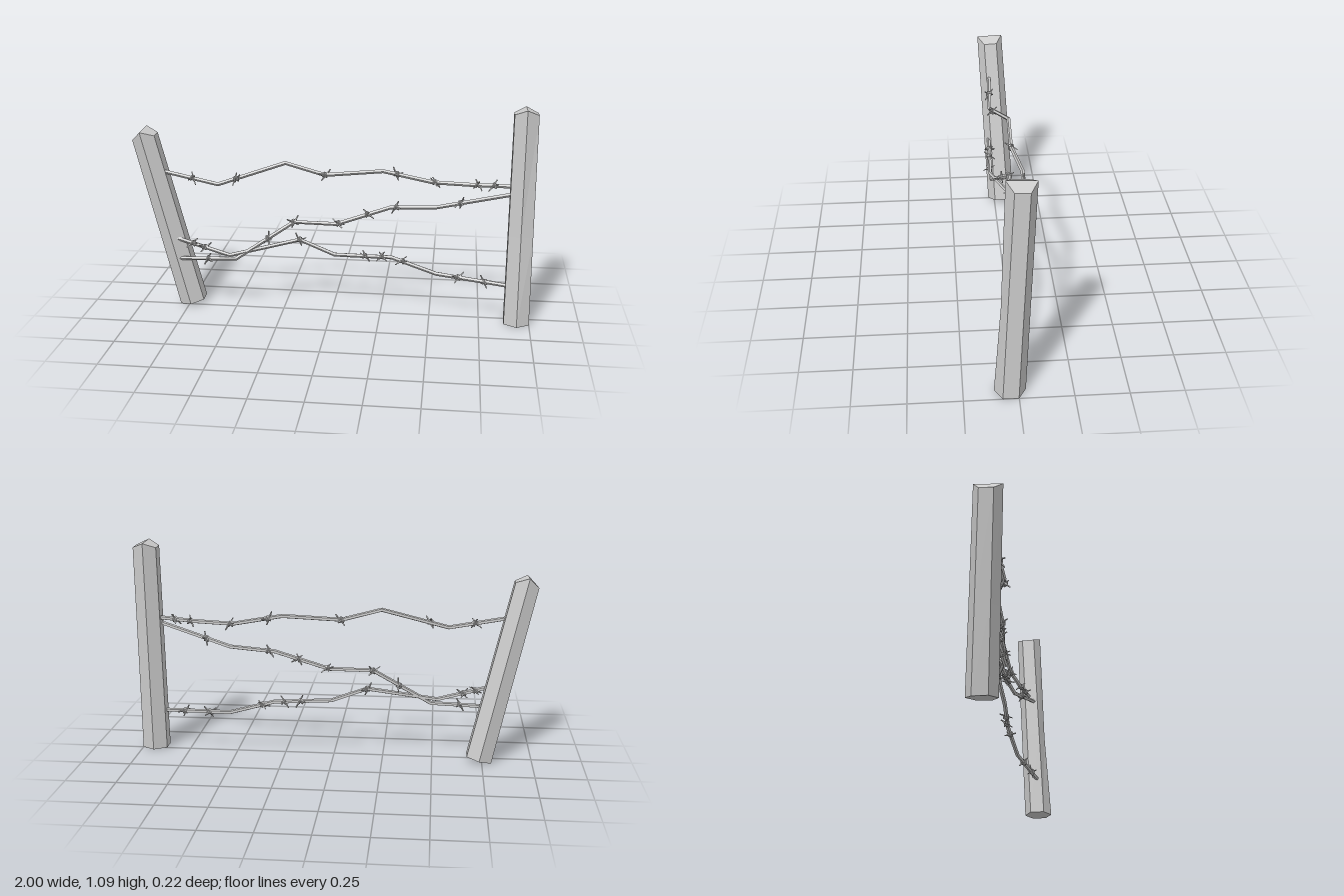
import * as THREE from 'three';

const V = (x, y, z) => new THREE.Vector3(x, y, z);
const UP = V(0, 1, 0);
const material = new THREE.MeshStandardMaterial({ color: 0xcccccc, flatShading: true, side: THREE.DoubleSide });

function addMesh(parent, name, geometry) {
  const mesh = new THREE.Mesh(geometry, material);
  mesh.name = name;
  parent.add(mesh);
  return mesh;
}

// Hexagonal post whose top is cut to a ridge, leaning from base to shoulder;
// its front edge is worn in by "dent" a little below the middle
function makePost(parent, name, base, shoulder, ridge, dent) {
  const axis = shoulder.clone().sub(base);
  const h = axis.length();
  const geo = new THREE.CylinderGeometry(0.067, 0.0725, h, 6, 2);
  geo.translate(0, h / 2, 0);
  const p = geo.attributes.position;
  for (let i = 0; i < p.count; i++) {
    const y = p.getY(i);
    const onRidge = Math.abs(p.getX(i)) < 0.01;
    if (onRidge && y > h - 0.01) p.setY(i, h + ridge);
    if (Math.abs(y - h / 2) < 0.01) {
      p.setY(i, h * 0.43);
      if (onRidge && p.getZ(i) > 0) p.setZ(i, p.getZ(i) - dent);
    }
  }
  geo.applyQuaternion(new THREE.Quaternion().setFromUnitVectors(UP, axis.normalize()));
  geo.translate(base.x, base.y, base.z);
  // Sit flat where the foot meets the ground
  for (let i = 0; i < p.count; i++) if (p.getY(i) < 0.007) p.setY(i, 0);
  addMesh(parent, name, geo);
}

// Straight-segment path with one kink per point
class KinkedPath extends THREE.Curve {
  constructor(points) { super(); this.points = points; }
  getPoint(t, target = V(0, 0, 0)) {
    const s = THREE.MathUtils.clamp(t, 0, 1) * (this.points.length - 1);
    const i = Math.min(Math.floor(s), this.points.length - 2);
    return target.lerpVectors(this.points[i], this.points[i + 1], s - i);
  }
  getUtoTmapping(u) { return u; }
}

// Sideways sway shared by all wires
const sway = [[-1, 0.01], [-0.8, 0.025], [-0.52, 0.035], [-0.22, -0.05], [-0.02, -0.04],
  [0.28, -0.075], [0.52, -0.06], [0.7, -0.03], [0.9, 0.01]];
function interpolate(table, x) {
  for (let i = 1; i < table.length; i++) {
    const [x0, v0] = table[i - 1], [x1, v1] = table[i];
    if (x <= x1) return v0 + (v1 - v0) * (x - x0) / (x1 - x0);
  }
  return table[table.length - 1][1];
}

// Small knot of two turns with four stubby ends, wire along local y
function makeBarb(spin) {
  const barb = new THREE.Group();
  barb.name = 'barb';
  for (const side of [-1, 1]) {
    const turn = addMesh(barb, 'barbTurn', new THREE.TorusGeometry(0.0125, 0.005, 4, 6));
    turn.rotation.set(Math.PI / 2, side * 0.25, 0);
    turn.position.y = side * 0.006;
    for (const end of [-1, 1]) {
      const geo = new THREE.CylinderGeometry(0.003, 0.0055, 0.037, 4);
      geo.translate(0, 0.0185, 0);
      const spike = addMesh(barb, 'barbSpike', geo);
      const a = spin + side * 0.75 + (end > 0 ? 0 : Math.PI);
      spike.quaternion.setFromUnitVectors(UP, V(Math.cos(a), side * end * 0.6, Math.sin(a)).normalize());
      spike.position.y = side * 0.006;
    }
  }
  return barb;
}

// Heights along x, barb positions, and how far each wire drifts forward to the right
const wires = [
  { name: 'topWire', dz: 0, drift: -0.008,
    path: [[-0.9, 0.735], [-0.57, 0.67], [-0.24, 0.77], [-0.04, 0.715], [0.25, 0.735], [0.5, 0.688], [0.7, 0.69], [0.92, 0.70]],
    barbs: [-0.7, -0.48, -0.04, 0.32, 0.51, 0.72, 0.8] },
  { name: 'middleWire', dz: 0.004, drift: 0.016,
    path: [[-0.79, 0.265], [-0.49, 0.275], [-0.2, 0.46], [0.02, 0.46], [0.29, 0.55], [0.52, 0.565], [0.92, 0.675]],
    barbs: [-0.63, -0.33, -0.2, 0.03, 0.175, 0.32, 0.64] },
  { name: 'bottomWire', dz: 0, drift: 0.035,
    path: [[-0.8, 0.375], [-0.52, 0.295], [-0.17, 0.365], [0.01, 0.295], [0.3, 0.285], [0.53, 0.215], [0.92, 0.193]],
    barbs: [-0.71, -0.65, -0.17, 0.165, 0.25, 0.355, 0.64, 0.775] },
];

export function createModel() {
  const model = new THREE.Group();
  model.name = 'barbedWireFence';

  makePost(model, 'leaningPost', V(-0.735, 0.015, -0.038), V(-0.94, 0.9, 0.008), 0.038, 0);
  makePost(model, 'uprightPost', V(0.9375, 0.002, 0.0375), V(0.9375, 1.06, -0.007), 0.026, 0.01);

  wires.forEach(({ name, dz, drift, path, barbs }, w) => {
    const group = new THREE.Group();
    group.name = name;
    const at = (x) => V(x, interpolate(path, x),
      interpolate(sway, x) + dz + drift * THREE.MathUtils.clamp(x + 0.2, 0, 1));
    const points = path.map(([x]) => at(x));
    addMesh(group, 'strand', new THREE.TubeGeometry(new KinkedPath(points), points.length - 1, 0.0108, 5));
    barbs.forEach((x, i) => {
      const barb = makeBarb(i * 1.3 + w * 0.7);
      barb.position.copy(at(x));
      barb.quaternion.setFromUnitVectors(UP, at(x + 0.02).sub(at(x - 0.02)).normalize());
      group.add(barb);
    });
    model.add(group);
  });
  return model;
}
